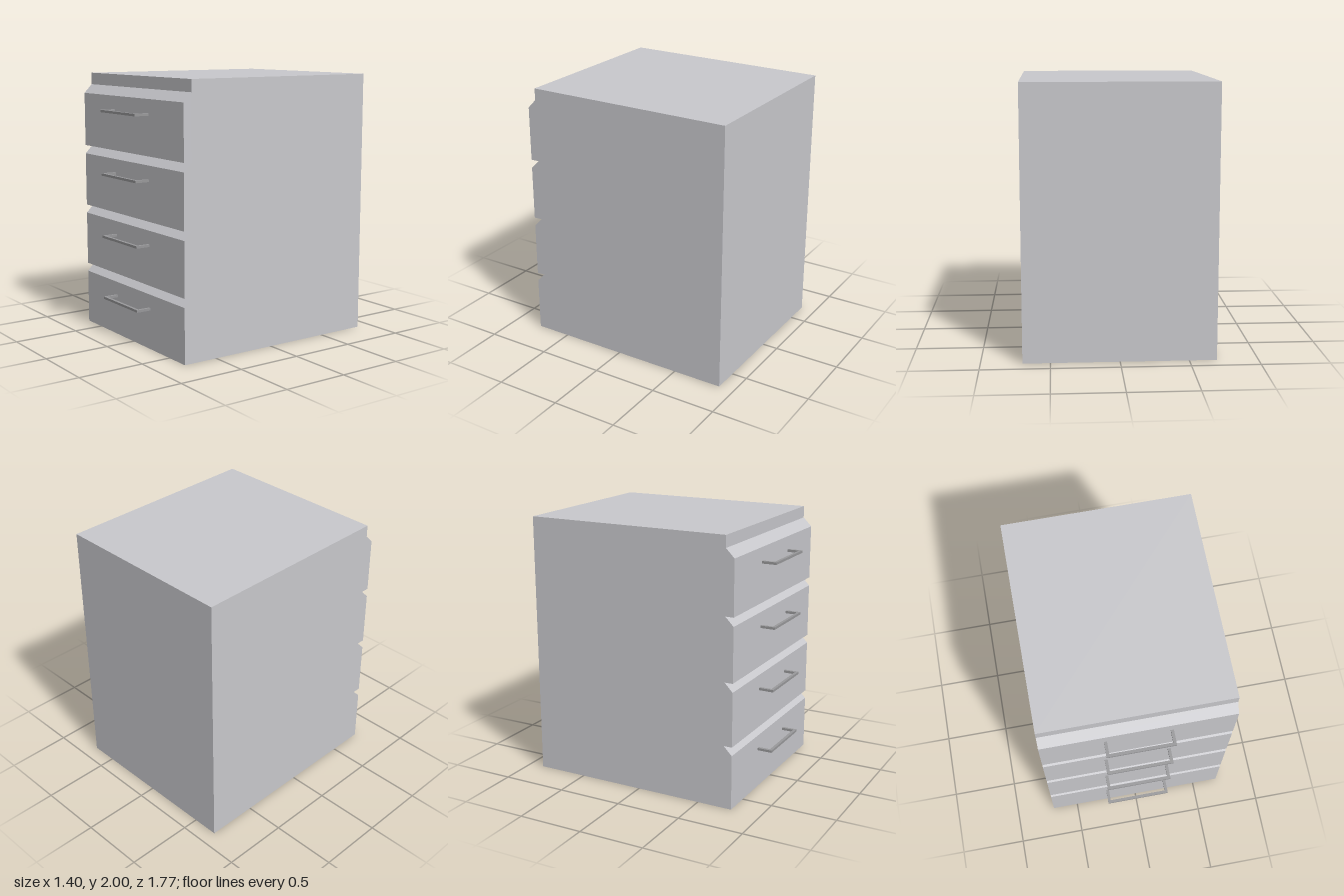
import * as THREE from 'three';

const HALF_W = 0.7, HEIGHT = 2, BACK = -0.883, FACE = 0.77, GROOVE = 0.705, REACH = 0.883;
const DRAWERS = 4, PITCH = 0.4765;

// Faces swept across the cabinet's width along a run of [z, y] points
function strip(points) {
  const pos = [];
  for (let i = 0; i < points.length - 1; i++) {
    const [z0, y0] = points[i], [z1, y1] = points[i + 1], w = HALF_W;
    pos.push(-w, y0, z0, w, y0, z0, w, y1, z1, -w, y0, z0, w, y1, z1, -w, y1, z1);
  }
  const g = new THREE.BufferGeometry();
  g.setAttribute('position', new THREE.Float32BufferAttribute(pos, 3));
  g.computeVertexNormals();
  return g;
}

// U-shaped bar pull, resting against the drawer face
function handleGeometry() {
  const o = 0.247, t = 0.022, h = 0.018;
  const shape = new THREE.Shape([
    [-o, FACE], [-o + t, FACE], [-o + t, REACH - t], [o - t, REACH - t],
    [o - t, FACE], [o, FACE], [o, REACH], [-o, REACH],
  ].map(([x, z]) => new THREE.Vector2(x, z)));
  return new THREE.ExtrudeGeometry(shape, { depth: h, bevelEnabled: false })
    .rotateX(Math.PI / 2).translate(0, h / 2, 0);
}

export function createModel() {
  const bodyMat = new THREE.MeshStandardMaterial({ color: 0xc8c8cc, side: THREE.DoubleSide });
  bodyMat.name = 'light grey';
  const handleMat = new THREE.MeshStandardMaterial({ color: 0x98989a });
  handleMat.name = 'mid grey';

  const model = new THREE.Group();
  model.name = 'drawerCabinet';
  const add = (geometry, material, name) => {
    const mesh = new THREE.Mesh(geometry, material);
    mesh.name = name;
    model.add(mesh);
    return mesh;
  };

  // Front profile: each drawer has a flat face, a sloped finger groove and a lip above
  const front = [];
  for (let i = 0; i < DRAWERS; i++) {
    const y = i * PITCH;
    front.push([FACE, i ? y + 0.004 : 0], [FACE, y + 0.415], [GROOVE, y + 0.481]);
    if (i < DRAWERS - 1) front.push([GROOVE, y + 0.481]);
  }
  front.push([GROOVE, HEIGHT]);
  const profile = front.filter((p, i) => !i || p[0] !== front[i - 1][0] || p[1] !== front[i - 1][1]);

  // Thin shell, open underneath
  add(strip(profile), bodyMat, 'drawerFronts');
  add(strip([[GROOVE, HEIGHT], [BACK, HEIGHT]]), bodyMat, 'top');
  add(strip([[BACK, HEIGHT], [BACK, 0]]), bodyMat, 'back');

  // Side walls follow the grooved profile
  for (const s of [1, -1]) {
    const outline = [...profile, [BACK, HEIGHT], [BACK, 0]];
    const shape = new THREE.Shape(outline.map(([z, y]) => new THREE.Vector2(-s * z, y)));
    const wall = new THREE.ShapeGeometry(shape).rotateY(s * Math.PI / 2).translate(s * HALF_W, 0, 0);
    add(wall, bodyMat, s > 0 ? 'leftSide' : 'rightSide');
  }

  // One handle per drawer
  const handle = handleGeometry();
  for (let i = 0; i < DRAWERS; i++) {
    add(handle, handleMat, 'handle' + (i + 1)).position.y = 0.305 + i * PITCH;
  }
  return model;
}
